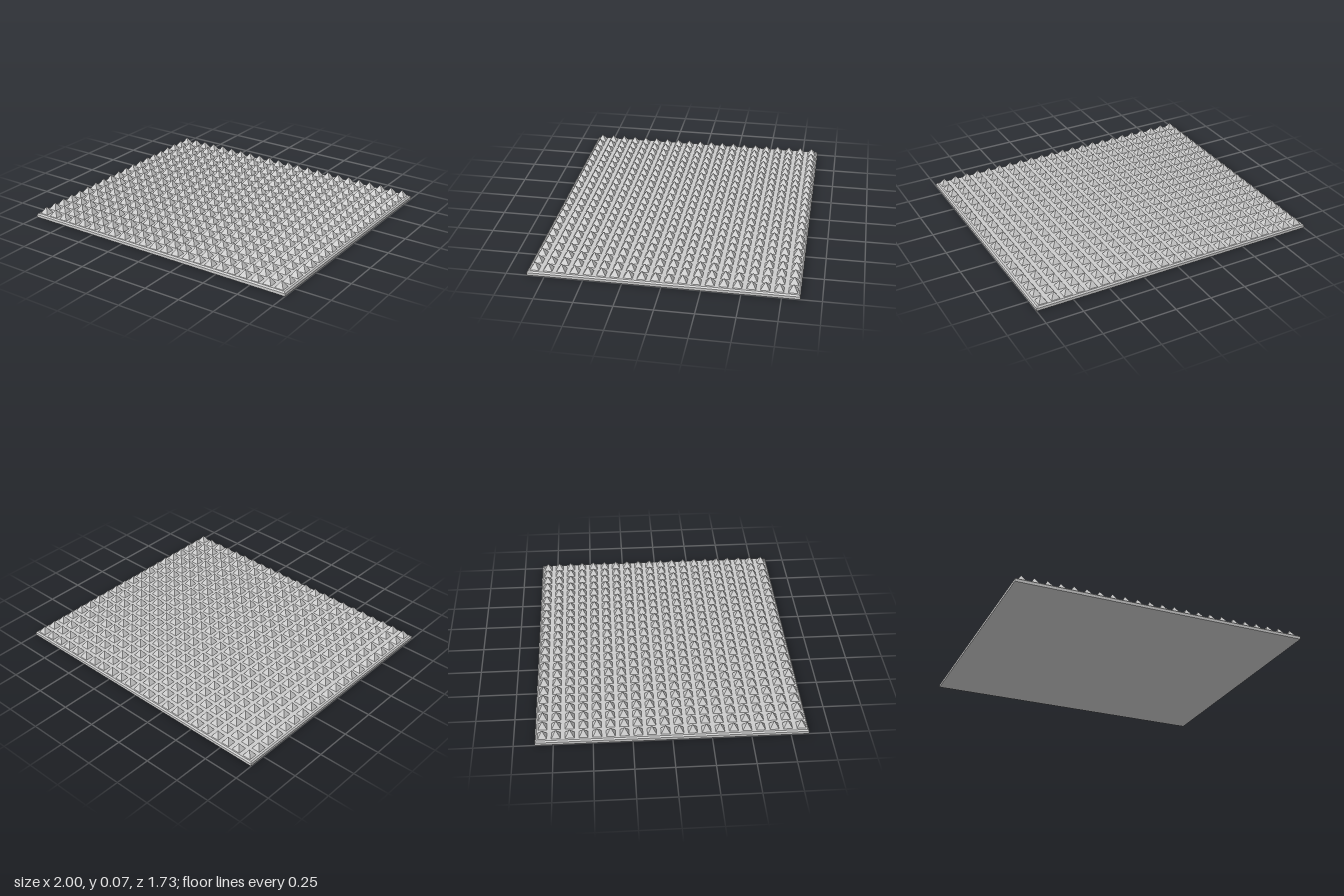
import * as THREE from 'three';
import { mergeGeometries } from 'three/addons/utils/BufferGeometryUtils.js';

const COLS = 23, ROWS = 20, PITCH = 0.0862;
const WIDTH = 2, DEPTH = 1.73, PLATE = 0.028, CHAMFER = 0.009;
const STUD_WIDTH = 0.058, STUD_HEIGHT = 0.046;

// Thin slab whose upper rim is chamfered
function plateGeometry() {
  const geo = new THREE.BoxGeometry(WIDTH, PLATE, DEPTH, 1, 2, 1);
  const p = geo.attributes.position;
  for (let i = 0; i < p.count; i++) {
    const level = Math.round(p.getY(i) / (PLATE / 2)); // -1 bottom, 0 rim, 1 top
    p.setY(i, [0, PLATE - CHAMFER, PLATE][level + 1]);
    if (level === 1) {
      p.setX(i, p.getX(i) - Math.sign(p.getX(i)) * CHAMFER);
      p.setZ(i, p.getZ(i) - Math.sign(p.getZ(i)) * CHAMFER);
    }
  }
  geo.computeVertexNormals();
  return geo;
}

// Regular grid of square pyramids standing on the slab
function studsGeometry() {
  const stud = new THREE.ConeGeometry(STUD_WIDTH / Math.SQRT2, STUD_HEIGHT, 4, 1, true);
  stud.rotateY(Math.PI / 4);
  stud.translate(0, PLATE + STUD_HEIGHT / 2, 0);
  const studs = [];
  for (let r = 0; r < ROWS; r++) {
    for (let c = 0; c < COLS; c++) {
      const x = (c - (COLS - 1) / 2) * PITCH;
      const z = (r - (ROWS - 1) / 2) * PITCH;
      studs.push(stud.clone().translate(x, 0, z));
    }
  }
  return mergeGeometries(studs);
}

export function createModel() {
  const group = new THREE.Group();
  group.name = 'studdedPlate';
  const material = new THREE.MeshStandardMaterial({ color: 0xcccccc, flatShading: true });

  const plate = new THREE.Mesh(plateGeometry(), material);
  plate.name = 'basePlate';
  const studs = new THREE.Mesh(studsGeometry(), material);
  studs.name = 'pyramidStuds';

  group.add(plate, studs);
  return group;
}
